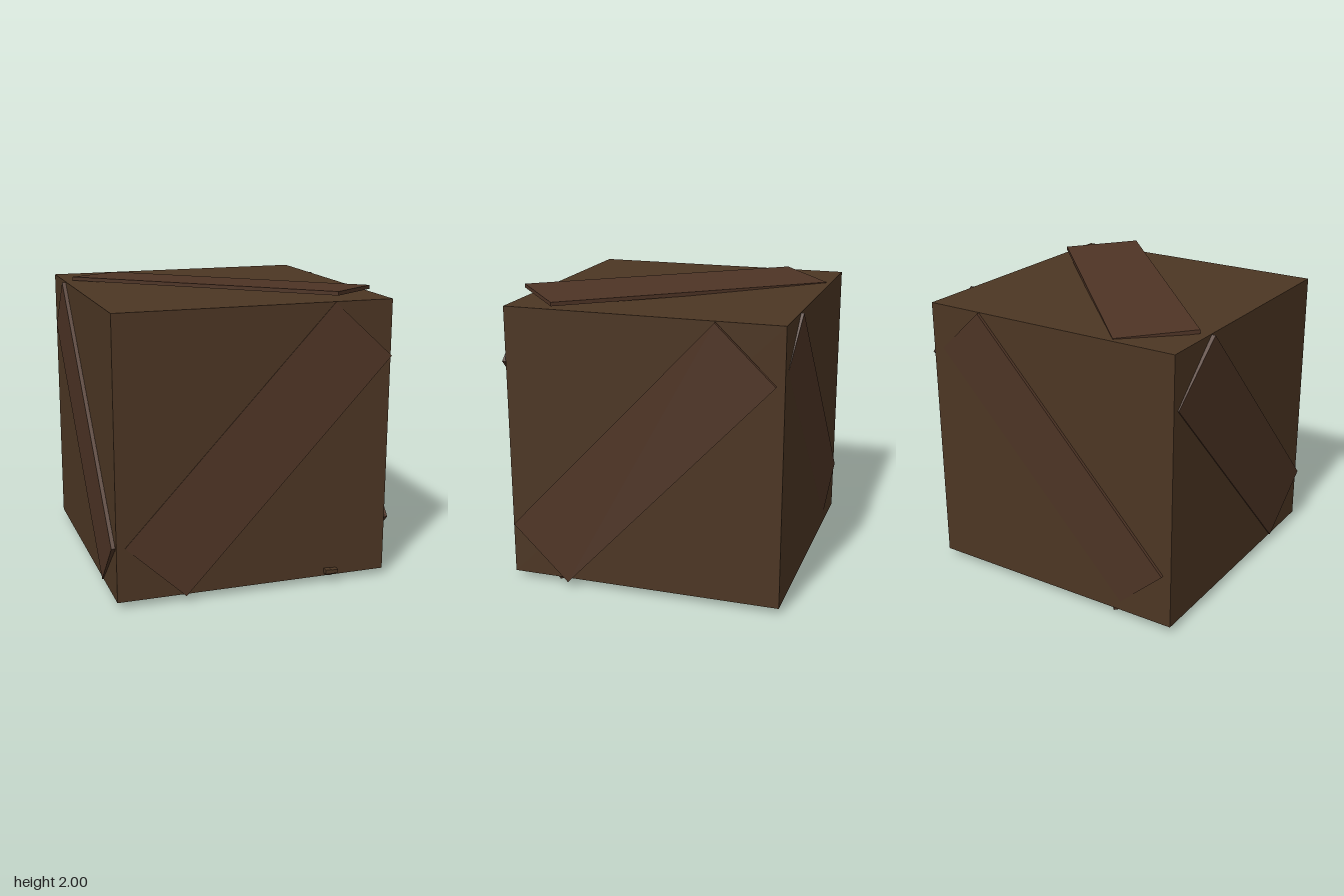
import * as THREE from 'three';

const X = new THREE.Vector3(1, 0, 0);
const Y = new THREE.Vector3(0, 1, 0);
const Z = new THREE.Vector3(0, 0, 1);
const neg = (v) => v.clone().negate();

const crateWood = new THREE.MeshStandardMaterial({ color: 0x4c3623 });
const boardWood = new THREE.MeshStandardMaterial({ color: 0x4e3425 });
const THICKNESS = 0.026;

// Diagonal board on the face spanned by a and b with outward normal n.
// depth: outer height along n; tiltLength and tiltWidth: skew of the board.
function diagonalBoard(name, a, b, n, center, depth, tiltLength, tiltWidth) {
  const geo = new THREE.BoxGeometry(2, 2, 1);
  const pos = geo.attributes.position;
  const flip = -Math.sign(a.clone().cross(b).dot(n)); // keeps faces outward
  for (let i = 0; i < pos.count; i++) {
    const u = pos.getX(i) * flip;
    const v = pos.getY(i);
    const w = (pos.getZ(i) - 0.5) * THICKNESS;
    const p = center.clone()
      .addScaledVector(a, 0.71 * u + 0.2 * v)
      .addScaledVector(b, 0.757 * u - 0.185 * v)
      .addScaledVector(n, depth + tiltLength * u + tiltWidth * v + w);
    pos.setXYZ(i, p.x, p.y, p.z);
  }
  geo.computeVertexNormals();
  const mesh = new THREE.Mesh(geo, boardWood);
  mesh.name = name;
  return mesh;
}

function box(name, material, size, position) {
  const mesh = new THREE.Mesh(new THREE.BoxGeometry(...size), material);
  mesh.position.set(...position);
  mesh.name = name;
  return mesh;
}

export function createModel() {
  const group = new THREE.Group();
  group.name = 'woodenCrate';

  // Crate body
  group.add(box('crateBody', crateWood, [1.882, 1.885, 1.882], [-0.016, 0.988, -0.013]));

  // One loosely nailed board per face
  const side = new THREE.Vector3(0.01, 0.985, 0);
  const flank = new THREE.Vector3(0, 0.985, 0);
  const level = new THREE.Vector3(0.01, 0, 0.02);
  group.add(
    diagonalBoard('frontBoard', X, Y, Z, side, 0.945, 0, 0.0125),
    diagonalBoard('backBoard', X, Y, neg(Z), side, 0.962, 0, -0.0125),
    diagonalBoard('leftBoard', neg(Z), Y, X, flank, 0.973, 0, 0.0115),
    diagonalBoard('rightBoard', neg(Z), Y, neg(X), flank, 0.975, 0, -0.01),
    diagonalBoard('topBoard', X, Z, Y, level, 1.9675, 0.02, -0.0125),
    diagonalBoard('bottomBoard', X, Z, neg(Y), level, -0.0285, -0.0135, 0.015),
  );

  // Small latch low on the front
  group.add(
    box('latchPlate', crateWood, [0.04, 0.03, 0.05], [0.505, 0.085, 0.945]),
    box('latchTongue', crateWood, [0.048, 0.026, 0.046], [0.549, 0.083, 0.945]),
  );
  return group;
}
